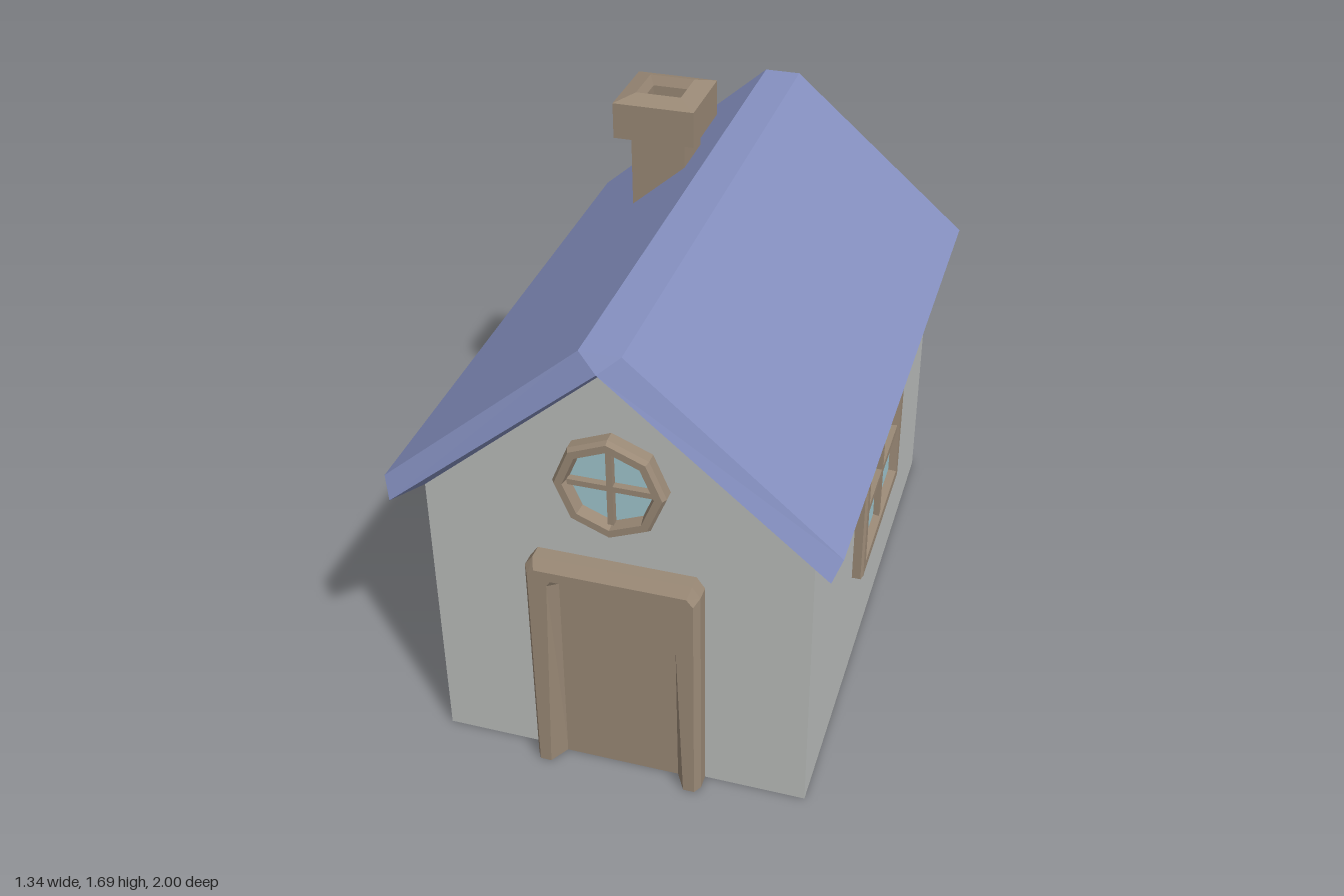
import * as THREE from 'three';

const mat = (name, color, side = THREE.FrontSide) => {
  const m = new THREE.MeshStandardMaterial({ color, side });
  m.name = name;
  return m;
};

// Joins successive rings of [x, y, z] points with flat faces
function loft(rings, closed = true) {
  const pos = [];
  for (let r = 0; r < rings.length - 1; r++) {
    const n = rings[r].length;
    for (let i = 0; i < (closed ? n : n - 1); i++) {
      const j = (i + 1) % n;
      const [a, b, c, d] = [rings[r][i], rings[r][j], rings[r + 1][j], rings[r + 1][i]];
      pos.push(...a, ...b, ...c, ...a, ...c, ...d);
    }
  }
  const g = new THREE.BufferGeometry();
  g.setAttribute('position', new THREE.Float32BufferAttribute(pos, 3));
  g.computeVertexNormals();
  return g;
}

const at = (pts, z) => pts.map(([x, y]) => [x, y, z]);
const rect = (w, h) => [[w, -h], [w, h], [-w, h], [-w, -h]];
const octagon = (r) => Array.from({ length: 8 }, (_, i) =>
  [r * Math.cos(i * Math.PI / 4), r * Math.sin(i * Math.PI / 4)]);
// Right half of an arch, continued with its mirror image
const mirrored = (half) => [...half, ...half.map(([x, y]) => [-x, y]).reverse()];

export function createModel() {
  const model = new THREE.Group();
  model.name = 'cottage';
  const plaster = mat('plaster', 0xbabdbb, THREE.DoubleSide);
  const slate = mat('roofBlue', 0x8590c0, THREE.DoubleSide);
  const wood = mat('woodBrown', 0x9a8976);
  const glass = mat('glass', 0xa0c6ce);

  const add = (parent, name, geometry, material, x = 0, y = 0, z = 0) => {
    const m = new THREE.Mesh(geometry, material);
    m.name = name;
    m.position.set(x, y, z);
    parent.add(m);
    return m;
  };

  // Walls: two gables and two sides, open underneath
  const gable = new THREE.ShapeGeometry(new THREE.Shape(
    [[-0.58, 0], [0.58, 0], [0.58, 0.95], [0, 1.45], [-0.58, 0.95]].map(p => new THREE.Vector2(...p))));
  add(model, 'frontWall', gable, plaster, 0, 0, 0.9);
  add(model, 'backWall', gable, plaster, 0, 0, -0.9).rotation.y = Math.PI;
  for (const s of [1, -1]) {
    add(model, s > 0 ? 'leftWall' : 'rightWall', new THREE.PlaneGeometry(1.8, 0.95), plaster, s * 0.58, 0.475, 0)
      .rotation.y = s * Math.PI / 2;
  }

  // Roof: outer shell, bevelled gable ends and undersides
  const outer = mirrored([[0.67, 1.01], [0.06, 1.54]]);
  const edge = mirrored([[0.645, 0.95], [0, 1.495]]);
  const inner = mirrored([[0.58, 0.95], [0, 1.45]]);
  add(model, 'roof', loft([at(inner, -0.9), at(edge, -1), at(outer, -0.965),
    at(outer, 0.965), at(edge, 1), at(inner, 0.9)], false), slate);
  for (const s of [1, -1]) {
    const rail = (x, y, z) => [[s * x, y, s * z], [s * x, y, -s * z]];
    add(model, s > 0 ? 'leftEave' : 'rightEave',
      loft([rail(0.58, 0.95, 0.9), rail(0.645, 0.95, 1), rail(0.67, 1.01, 0.965)], false), slate);
  }

  // Chimney: hollow shaft with a flared cap
  const chimney = loft([[0.09, 1.26], [0.09, 1.53], [0.135, 1.55], [0.135, 1.67],
    [0.075, 1.69], [0.06, 1.66], [0.06, 1.3]].map(([w, y]) => at(rect(w, w), y)));
  chimney.rotateX(-Math.PI / 2);
  add(model, 'chimney', chimney, wood, -0.25, 0, -0.395);

  // Side windows
  for (const s of [1, -1]) {
    const win = new THREE.Group();
    win.name = s > 0 ? 'leftWindow' : 'rightWindow';
    win.position.set(s * 0.58, 0.618, 0.015);
    win.rotation.y = s * Math.PI / 2;
    add(win, 'windowFrame', loft([at(rect(0.295, 0.222), 0), at(rect(0.295, 0.222), 0.028),
      at(rect(0.287, 0.214), 0.035), at(rect(0.252, 0.18), 0.035), at(rect(0.245, 0.173), 0.004)]), wood);
    add(win, 'windowPane', new THREE.BoxGeometry(0.5, 0.36, 0.006), glass, 0, 0, 0.006);
    add(win, 'uprightBar', new THREE.BoxGeometry(0.025, 0.36, 0.024), wood, 0, 0, 0.016);
    add(win, 'crossBar', new THREE.BoxGeometry(0.5, 0.025, 0.024), wood, 0, 0, 0.016);
    model.add(win);
  }

  // Gable window
  const round = new THREE.Group();
  round.name = 'gableWindow';
  round.position.set(0, 1.08, 0.9);
  add(round, 'roundFrame', loft([at(octagon(0.167), 0), at(octagon(0.167), 0.035),
    at(octagon(0.158), 0.05), at(octagon(0.134), 0.05), at(octagon(0.126), 0.006)]), wood);
  add(round, 'roundPane', new THREE.CylinderGeometry(0.132, 0.132, 0.006, 8).rotateX(Math.PI / 2), glass, 0, 0, 0.008);
  add(round, 'uprightBar', new THREE.BoxGeometry(0.018, 0.25, 0.026), wood, 0, 0, 0.02);
  add(round, 'crossBar', new THREE.BoxGeometry(0.25, 0.018, 0.026), wood, 0, 0, 0.02);
  model.add(round);

  // Door and its bevelled surround
  const rim = mirrored([[0.265, 0], [0.265, 0.76], [0.24, 0.795]]);
  const face = mirrored([[0.25, 0], [0.25, 0.74], [0.23, 0.765]]);
  const opening = mirrored([[0.215, 0], [0.192, 0.715], [0.18, 0.733]]);
  const recess = mirrored([[0.18, 0], [0.176, 0.68], [0.155, 0.712]]);
  add(model, 'doorFrame', loft([at(rim, 0.9), at(rim, 0.945), at(face, 0.97),
    at(opening, 0.97), at(recess, 0.91)], false), wood);
  add(model, 'door', new THREE.BoxGeometry(0.37, 0.72, 0.012), wood, 0, 0.36, 0.906);
  for (const x of [-0.235, 0.235]) {
    add(model, 'doorFrameFoot', new THREE.PlaneGeometry(0.05, 0.065), wood, x, 0, 0.934).rotation.x = Math.PI / 2;
  }
  return model;
}
